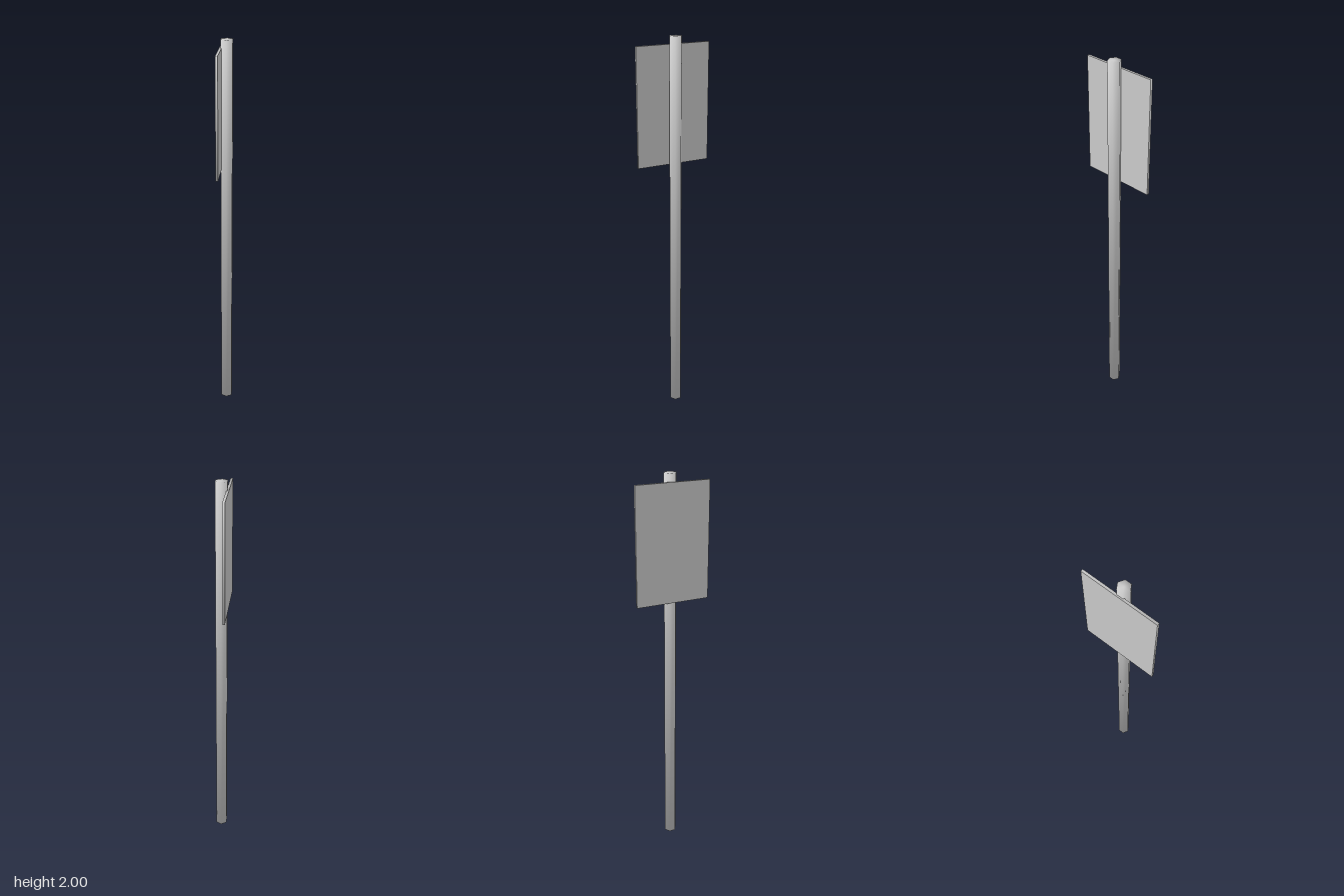
import * as THREE from 'three';

const material = new THREE.MeshStandardMaterial({ color: 0xcccccc });

// Replace each vertex normal by a rule of position and old normal
function shade(geometry, rule) {
  const pos = geometry.attributes.position, nor = geometry.attributes.normal;
  const p = new THREE.Vector3(), n = new THREE.Vector3();
  for (let i = 0; i < pos.count; i++) {
    p.fromBufferAttribute(pos, i);
    n.fromBufferAttribute(nor, i);
    rule(p, n);
    n.normalize();
    nor.setXYZ(i, n.x, n.y, n.z);
  }
  return geometry;
}

function addPart(group, name, geometry, x, y, z) {
  const mesh = new THREE.Mesh(geometry, material);
  mesh.name = name;
  mesh.position.set(x, y, z);
  group.add(mesh);
}

export function createModel() {
  const group = new THREE.Group();
  group.name = 'signPost';

  // Six-sided post, smooth over sides and caps
  const radius = 0.0325;
  const post = shade(new THREE.CylinderGeometry(radius, radius, 2, 6), (p, n) =>
    n.set(p.x / radius, 0.77 * Math.sign(p.y), p.z / radius));
  addPart(group, 'post', post, 0.003, 1, 0);

  // Thin sign panel: flat faces with a smooth rim
  const panel = shade(new THREE.BoxGeometry(0.012, 0.584, 0.382), (p, n) => {
    if (Math.abs(n.x) < 0.5) n.set(0, Math.sign(p.y), Math.sign(p.z));
  });
  addPart(group, 'signPanel', panel, -0.026, 1.668, 0);

  return group;
}
